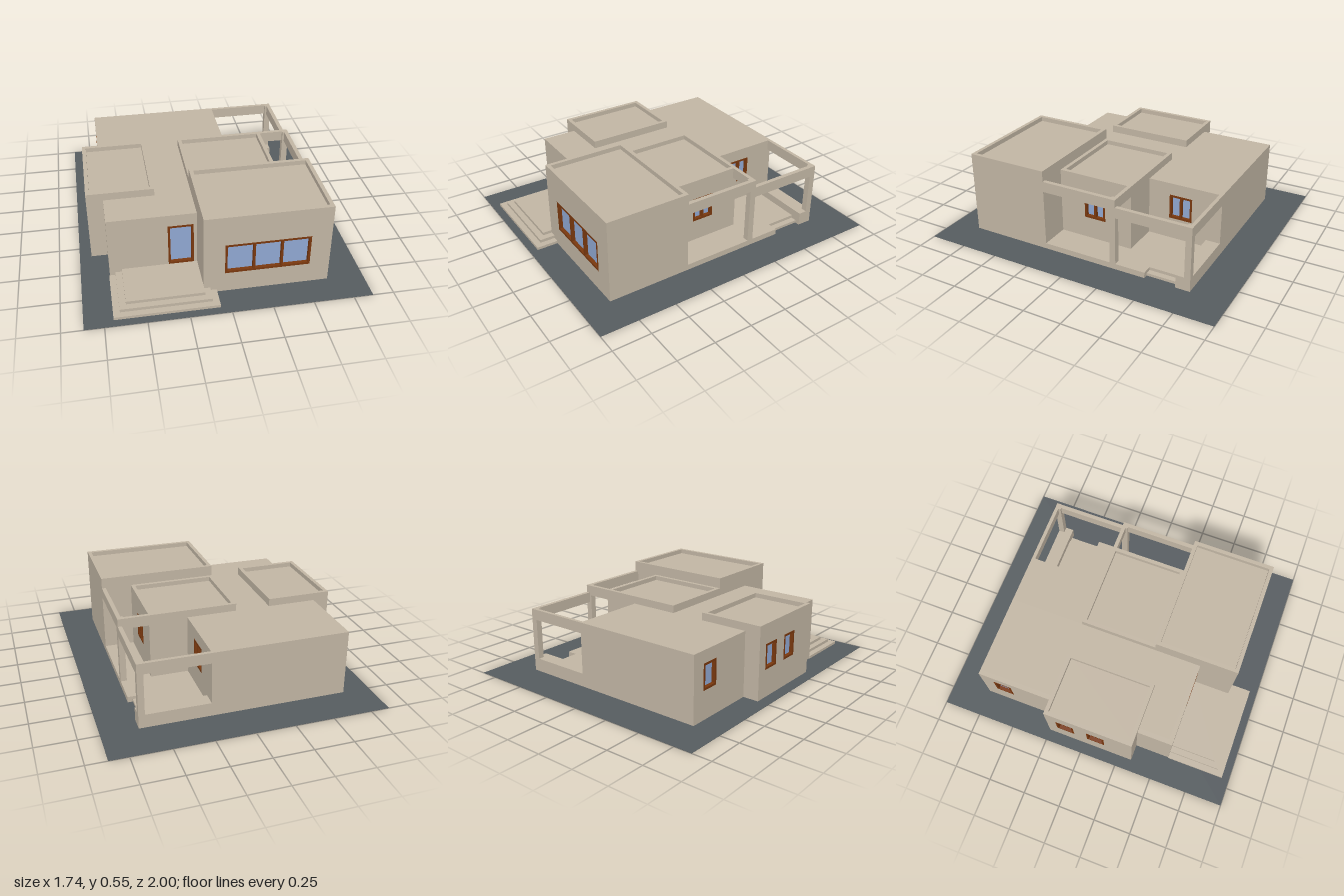
import * as THREE from 'three';

const mat = (name, color) => {
  const m = new THREE.MeshStandardMaterial({ color });
  m.name = name;
  return m;
};

export function createModel() {
  const model = new THREE.Group();
  model.name = 'house';
  const plaster = mat('plaster', 0xc2b6a4);
  const paving = mat('paving', 0x565c60);
  const wood = mat('wood', 0x7a380e);
  const glass = mat('glass', 0x90a8d2);
  const DEPTH = 0.03; // thickness of walls with openings
  const RIM = 0.025; // parapet thickness

  function add(name, geometry, material, parent = model) {
    const mesh = new THREE.Mesh(geometry, material);
    mesh.name = name;
    parent.add(mesh);
    return mesh;
  }

  // Box given by its limits on each axis
  function box(name, [x0, x1], [y0, y1], [z0, z1], material = plaster, parent = model) {
    const g = new THREE.BoxGeometry(x1 - x0, y1 - y0, z1 - z0);
    g.translate((x0 + x1) / 2, (y0 + y1) / 2, (z0 + z1) / 2);
    return add(name, g, material, parent);
  }

  const rect = (Kind, x0, x1, y0, y1) => new Kind([
    new THREE.Vector2(x0, y0), new THREE.Vector2(x1, y0),
    new THREE.Vector2(x1, y1), new THREE.Vector2(x0, y1),
  ]);

  // Raised rim around a flat roof
  function parapet(name, [x0, x1], [y0, y1], [z0, z1]) {
    const s = rect(THREE.Shape, x0, x1, -z1, -z0);
    s.holes.push(rect(THREE.Path, x0 + RIM, x1 - RIM, -z1 + RIM, -z0 - RIM));
    const g = new THREE.ExtrudeGeometry(s, { depth: y1 - y0, bevelEnabled: false });
    g.rotateX(-Math.PI / 2).translate(0, y0, 0);
    add(name, g, plaster);
  }

  // Wall with recessed windows; turn 0 faces +z, 1 faces +x, -1 faces -x
  function wall(name, turn, face, [u0, u1], top, windows) {
    const group = new THREE.Group();
    group.name = name;
    group.rotation.y = turn * Math.PI / 2;
    model.add(group);
    const s = rect(THREE.Shape, u0, u1, 0.001, top);
    for (const [a, b, c, d] of windows) s.holes.push(rect(THREE.Path, a, b, c, d));
    const g = new THREE.ExtrudeGeometry(s, { depth: DEPTH, bevelEnabled: false });
    g.translate(0, 0, face - DEPTH);
    add('wallPanel', g, plaster, group);

    const f = 0.014; // frame width
    for (const [a, b, c, d, panes] of windows) {
      const z = [face - DEPTH, face + 0.001];
      box('windowGlass', [a, b], [c, d], [face - 0.027, face - 0.022], glass, group);
      box('windowSill', [a, b], [c, c + f], z, wood, group);
      box('windowHead', [a, b], [d - f, d], z, wood, group);
      for (let i = 0; i <= panes; i++) {
        const u = a + (b - a - f) * i / panes;
        box('windowPost', [u, u + f], [c, d], z, wood, group);
      }
    }
  }

  box('ground', [-0.87, 0.87], [0, 0.002], [-1, 1], paving);

  // Main volume and its rear wing
  const base = 0.001;
  box('mainBody', [-0.66, -0.14], [base, 0.43], [-0.75, 0.54]);
  box('rearWing', [-0.14, 0.16], [base, 0.43], [-0.75, -0.25]);
  wall('entranceWall', 0, 0.57, [-0.69, -0.14], 0.43, [[-0.32, -0.16, 0.06, 0.35, 1]]);
  wall('mainSideWall', -1, 0.69, [-0.75, 0.54], 0.43, [[-0.66, -0.54, 0.185, 0.35, 1]]);
  wall('rearWingWall', 1, 0.19, [0.25, 0.75], 0.43, [[0.395, 0.55, 0.185, 0.35, 2]]);

  // Side volume
  box('sideBody', [-0.765, -0.37], [base, 0.45], [-0.25, 0.34]);
  wall('sideBodyWall', -1, 0.795, [-0.25, 0.34], 0.45,
    [[-0.18, -0.06, 0.185, 0.35, 1], [0.03, 0.15, 0.185, 0.35, 1]]);
  parapet('sideParapet', [-0.795, -0.37], [0.45, 0.48], [-0.25, 0.34]);

  // Tall front volume
  box('frontBody', [-0.14, 0.64], [base, 0.52], [0.26, 0.78]);
  wall('frontBodyWall', 0, 0.81, [-0.14, 0.64], 0.52, [[-0.01, 0.515, 0.14, 0.35, 3]]);
  parapet('frontParapet', [-0.14, 0.64], [0.52, 0.55], [0.26, 0.81]);

  // Middle volume
  box('middleBody', [-0.14, 0.41], [base, 0.45], [-0.25, 0.26]);
  wall('middleBodyWall', 1, 0.44, [-0.26, 0.25], 0.45, [[-0.085, 0.065, 0.185, 0.35, 2]]);
  parapet('middleParapet', [-0.14, 0.44], [0.45, 0.48], [-0.25, 0.26]);

  // Side terrace with open frame
  box('sideTerraceFloor', [0.44, 0.64], [base, 0.04], [-0.25, 0.26]);
  box('sideTerraceColumn', [0.6, 0.64], [0.04, 0.48], [-0.25, -0.21]);
  box('sideTerraceBeam', [0.613, 0.64], [0.41, 0.48], [-0.21, 0.26]);
  box('sideTerraceCrossBeam', [0.44, 0.6], [0.41, 0.48], [-0.25, -0.225]);

  // Rear terrace: floor, entry step, low wall and open frame
  box('rearTerraceFloor', [0.19, 0.57], [base, 0.04], [-0.66, -0.25]);
  box('rearTerraceEdge', [0.57, 0.64], [base, 0.04], [-0.45, -0.25]);
  box('rearTerraceStep', [0.57, 0.608], [base, 0.02], [-0.66, -0.45]);
  box('rearLowWall', [0.19, 0.64], [base, 0.09], [-0.75, -0.655]);
  box('rearTerraceColumn', [0.6, 0.64], [0.09, 0.43], [-0.75, -0.71]);
  box('rearTerraceBeam', [0.19, 0.6], [0.36, 0.43], [-0.75, -0.727]);
  box('rearTerraceSideBeam', [0.613, 0.64], [0.36, 0.43], [-0.71, -0.25]);

  // Entrance steps wrapping round the corner
  for (let i = 0; i < 3; i++) {
    box('entranceStep', [-0.695 + 0.04 * i, -0.06 - 0.04 * i],
      [base, 0.02 * (i + 1)], [0.57, 0.95 - 0.04 * i]);
  }

  return model;
}
